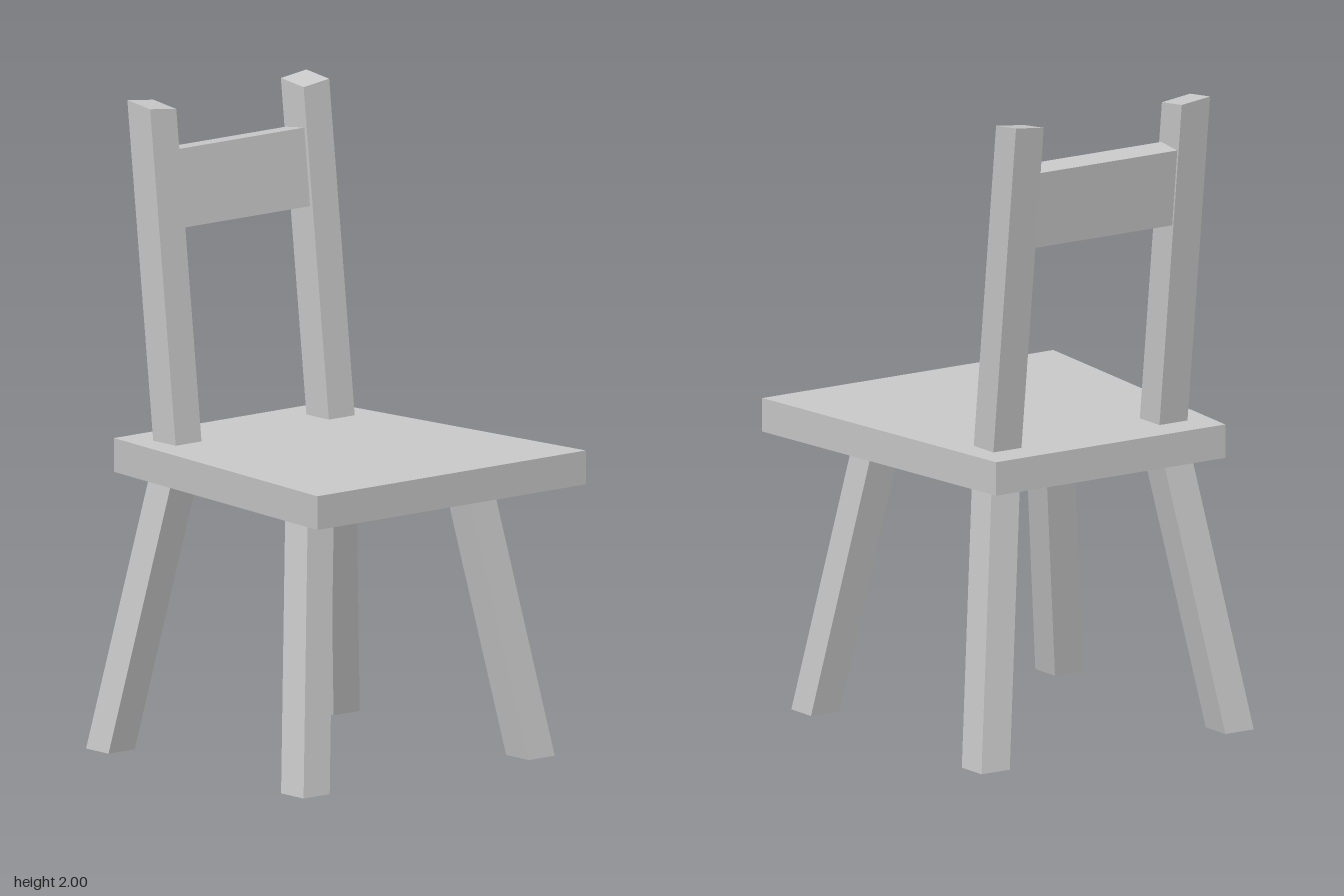
import * as THREE from 'three';

const material = new THREE.MeshStandardMaterial({ color: 0xcccccc, flatShading: true });
const mix = THREE.MathUtils.lerp;

// Six-sided block: rule maps unit coordinates (0..1 along x, y, z) to a corner.
function block(name, rule) {
  const geometry = new THREE.BoxGeometry(1, 1, 1);
  const p = geometry.attributes.position;
  for (let i = 0; i < p.count; i++) {
    p.setXYZ(i, ...rule(p.getX(i) + 0.5, p.getY(i) + 0.5, p.getZ(i) + 0.5));
  }
  geometry.computeVertexNormals();
  const mesh = new THREE.Mesh(geometry, material);
  mesh.name = name;
  return mesh;
}

export function createModel() {
  const chair = new THREE.Group();
  chair.name = 'chair';

  // Seat board, narrower toward the back
  chair.add(block('seat', (u, v, w) => [
    (u * 2 - 1) * mix(0.425, 0.54, w), mix(0.855, 0.96, v), mix(-0.523, 0.56, w),
  ]));

  for (const side of [1, -1]) {
    const label = side > 0 ? 'left' : 'right';
    // Mirrored u keeps the faces turned outward on both sides
    const across = (u) => (side > 0 ? u : 1 - u);

    // Splayed legs with level ends
    for (const [name, foot, top] of [['FrontLeg', 0.35, 0.213], ['BackLeg', -0.56, -0.42]]) {
      chair.add(block(label + name, (u, v, w) => [
        side * (mix(0.4, 0.265, v) + across(u) * 0.105),
        v * 0.855,
        mix(foot, top, v) + w * 0.105,
      ]));
    }

    // Back posts leaning rearward, tops rising to the outer back corner
    chair.add(block(label + 'BackPost', (u, v, w) => {
      const y = v ? 1.975 + 0.0125 * across(u) + 0.0125 * (1 - w) : 0.96;
      return [
        side * mix(0.256, 0.36, across(u)),
        y,
        -0.415 + w * 0.105 - 0.116 * (y - 0.96),
      ];
    }));
  }

  // Slat between the posts, tilted with them
  chair.add(block('backSlat', (u, v, w) => [
    mix(-0.256, 0.256, u),
    mix(1.6, 1.84, v) + w * 0.01,
    mix(-0.483, -0.51, v) + w * 0.085,
  ]));

  return chair;
}
